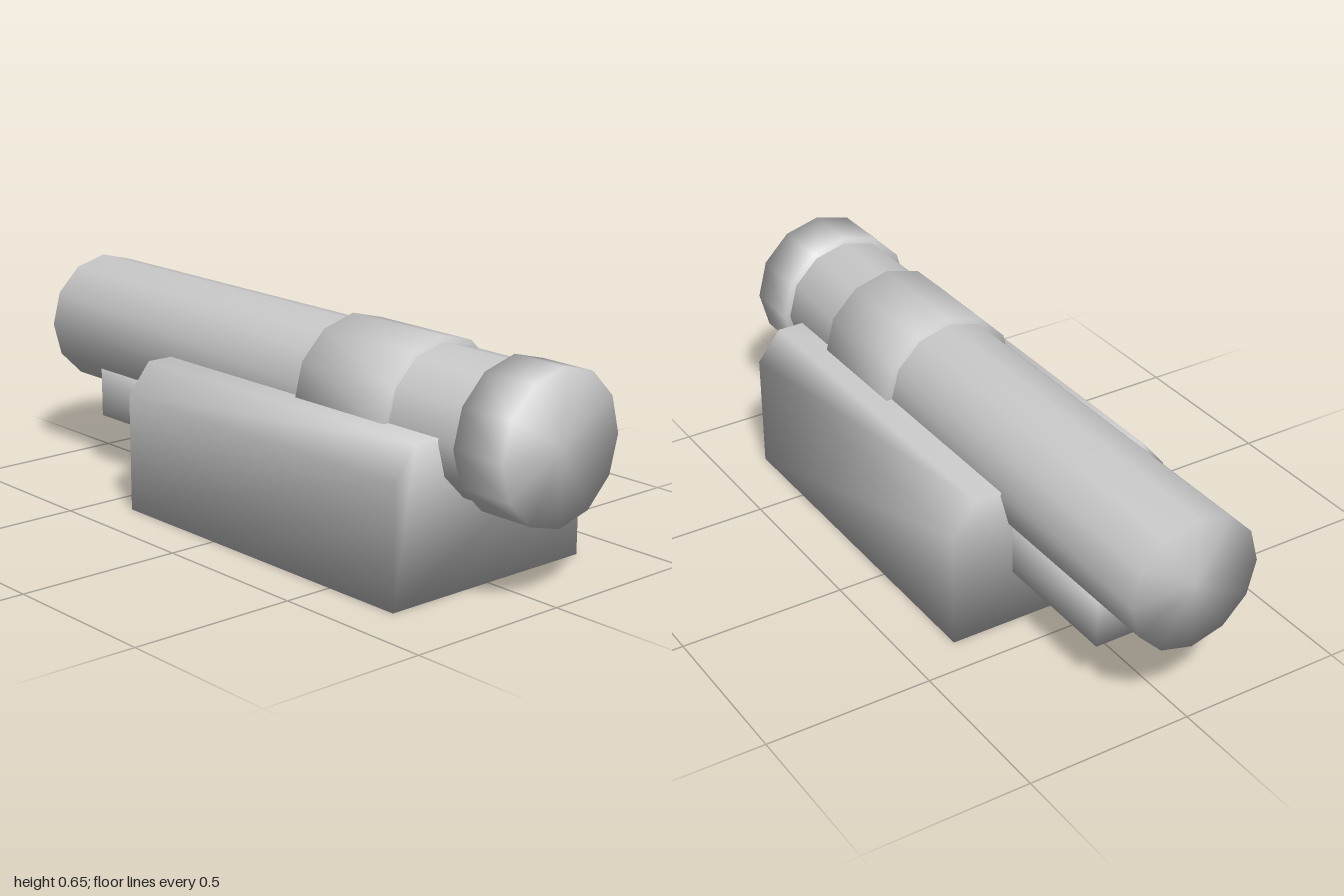
import * as THREE from 'three';
import { mergeVertices } from 'three/addons/utils/BufferGeometryUtils.js';

const AXIS_Y = 0.435; // height of the tube's axis
const SIDES = 12;

// Weld all corners so the shading runs smoothly over every edge
function smooth(geometry) {
  geometry.deleteAttribute('normal');
  geometry.deleteAttribute('uv');
  geometry.clearGroups();
  const welded = mergeVertices(geometry, 1e-4);
  welded.computeVertexNormals();
  return welded;
}

export function createModel() {
  const group = new THREE.Group();
  const material = new THREE.MeshStandardMaterial({ color: 0xcccccc });

  function add(name, geometry) {
    const mesh = new THREE.Mesh(smooth(geometry), material);
    mesh.name = name;
    group.add(mesh);
  }

  // Closed twelve-sided cylinder lying along x
  function addCylinder(name, x0, x1, radius) {
    const geometry = new THREE.CylinderGeometry(radius, radius, x1 - x0, SIDES);
    geometry.rotateZ(-Math.PI / 2);
    geometry.translate((x0 + x1) / 2, AXIS_Y, 0);
    add(name, geometry);
  }

  addCylinder('mainTube', -1, 0.9, 0.2);
  addCylinder('middleCollar', 0.2, 0.56, 0.218);
  addCylinder('endCollar', 0.825, 1, 0.218);

  // Clamp body: block with chamfered upper edges, extruded along x
  const profile = new THREE.Shape([
    [-0.353, 0], [0.353, 0], [0.353, 0.354],
    [0.279, 0.445], [-0.279, 0.445], [-0.353, 0.354],
  ].map(([z, y]) => new THREE.Vector2(z, y)));
  const body = new THREE.ExtrudeGeometry(profile, { depth: 1.14, bevelEnabled: false });
  body.rotateY(Math.PI / 2);
  body.translate(-0.39, 0, 0);
  add('clampBody', body);

  // Small block projecting from the body under the tube
  const block = new THREE.BoxGeometry(0.43, 0.155, 0.32);
  block.translate(-0.585, 0.2475, 0);
  add('sideBlock', block);

  return group;
}
